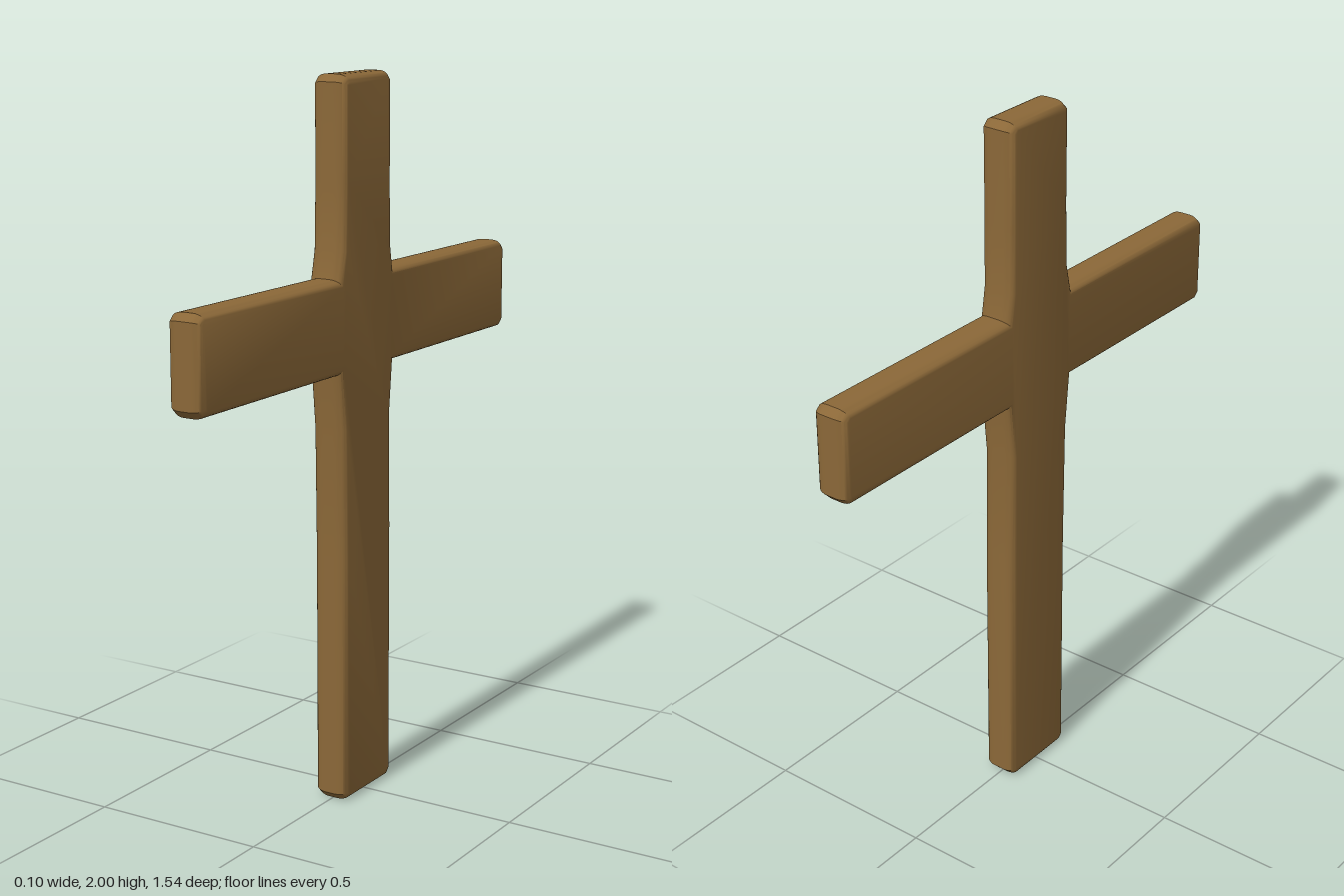
import * as THREE from 'three';
import { mergeVertices, toCreasedNormals } from 'three/addons/utils/BufferGeometryUtils.js';

const HALF_THICKNESS = 0.05;
const BEVEL_SIZE = 0.02; // rounding across the flat face
const BEVEL_DEPTH = 0.035; // rounding through the thickness

export function createModel() {
  const wood = new THREE.MeshStandardMaterial({ color: 0x8b6838 });
  wood.name = 'brown wood';

  // Face outline, inset by the bevel; shape x runs towards -z
  const b = BEVEL_SIZE, top = 2 - b, arm = 0.77 - b, half = 0.125 - b;
  const upper = 1.47 - b, lower = 1.21 + b, c = 0.008;
  const outline = [
    // foot
    [-half + c, b], [half - c, b], [half, b + c],
    // flared lower joint, back arm
    [half, 0.75], [0.12 - b, 1.06], [0.137 - b, lower],
    [arm - c, lower], [arm, lower + c], [arm, upper - c], [arm - c, upper],
    // flared upper joint, head
    [0.137 - b, upper], [0.122 - b, 1.54], [0.12 - b, 1.72], [0.12 - b, top - c], [0.12 - b - c, top],
    [-half + c, top], [-half, top - c], [-half, 1.72], [-0.13 + b, 1.54], [-0.15 + b, upper],
    // front arm, flared lower joint
    [-arm + c, upper], [-arm, upper - c], [-arm, lower + c], [-arm + c, lower],
    [-0.147 + b, lower], [-0.13 + b, 1.06], [-half, 0.7], [-half, b + c],
  ];
  const shape = new THREE.Shape(outline.map(([u, v]) => new THREE.Vector2(u, v)));

  const depth = 2 * (HALF_THICKNESS - BEVEL_DEPTH);
  let geometry = new THREE.ExtrudeGeometry(shape, {
    depth, bevelEnabled: true, bevelSize: BEVEL_SIZE, bevelThickness: BEVEL_DEPTH, bevelSegments: 6,
  });
  geometry.translate(0, 0, -depth / 2);
  geometry.rotateY(Math.PI / 2);

  // Soft rounded edges
  geometry.deleteAttribute('uv');
  geometry.deleteAttribute('normal');
  geometry = toCreasedNormals(mergeVertices(geometry, 1e-5), 0.7);

  const cross = new THREE.Mesh(geometry, wood);
  cross.name = 'cross';
  const group = new THREE.Group();
  group.name = 'woodenCross';
  group.add(cross);
  return group;
}
